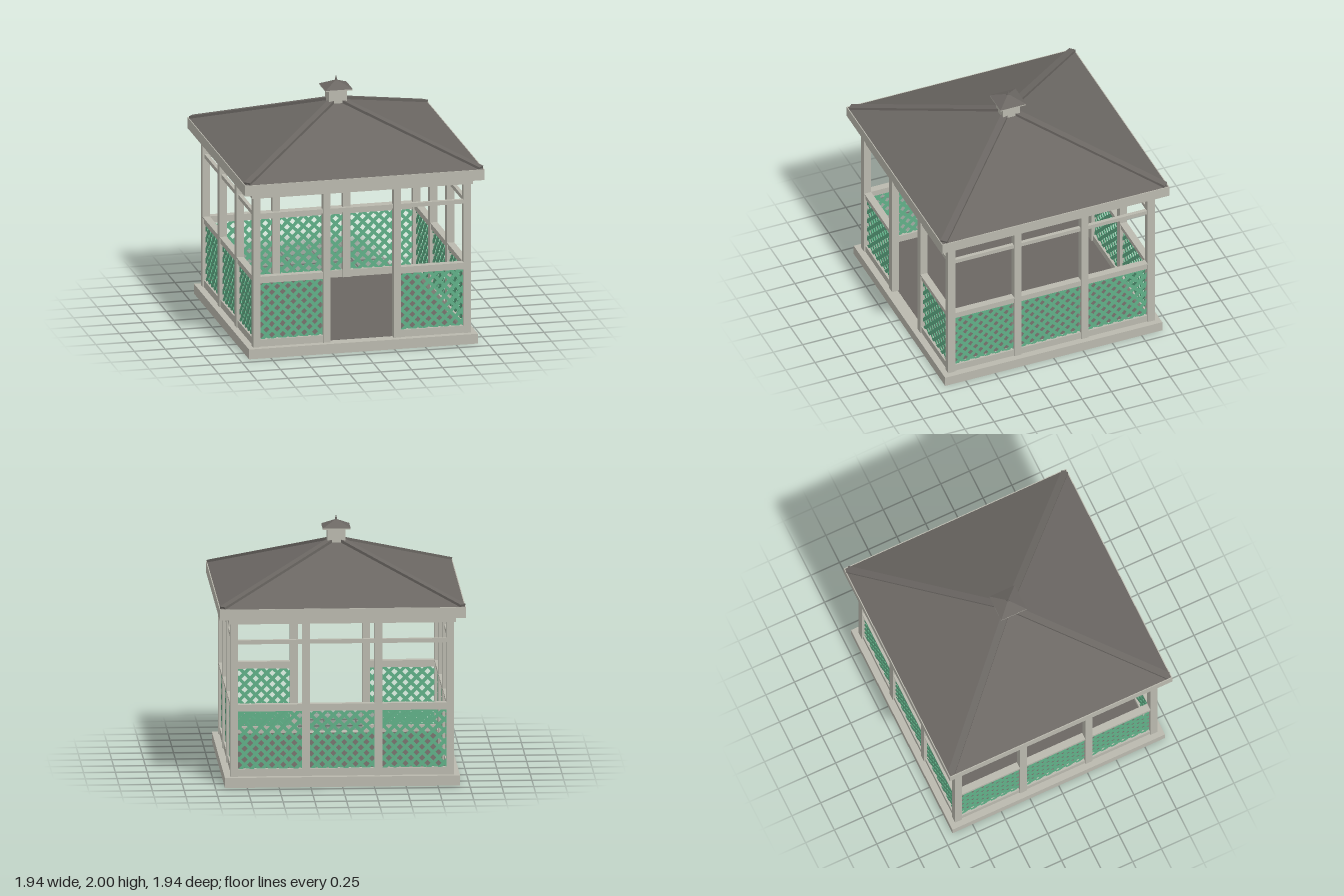
import * as THREE from 'three';
import { mergeGeometries } from 'three/addons/utils/BufferGeometryUtils.js';

const wood = new THREE.MeshStandardMaterial({ color: 0xbab9ae, side: THREE.DoubleSide });
wood.name = 'weathered grey wood';
const slate = new THREE.MeshStandardMaterial({ color: 0x6b6763 });
slate.name = 'dark roof and floor';
const green = new THREE.MeshStandardMaterial({ color: 0x61b088 });
green.name = 'green lattice';

const WALL = 0.85;      // distance of post centres from the middle
const POST = 0.06;
const BAYS = [-0.5675, 0, 0.5675];
const SPAN = 0.507;

function mesh(parent, name, geometry, material) {
  const m = new THREE.Mesh(geometry, material);
  m.name = name;
  parent.add(m);
  return m;
}

function box(parent, name, w, y0, y1, d, x, z, material = wood) {
  const m = mesh(parent, name, new THREE.BoxGeometry(w, y1 - y0, d), material);
  m.position.set(x, (y0 + y1) / 2, z);
}

// Square frame of four boards
function ring(parent, name, half, thick, y0, y1) {
  const g = new THREE.Group();
  g.name = name;
  for (let i = 0; i < 4; i++) {
    const side = new THREE.Group();
    side.name = name + 'Side';
    side.rotation.y = i * Math.PI / 2;
    box(side, name + 'Board', 2 * half - thick, y0, y1, thick, -thick / 2, half - thick / 2);
    g.add(side);
  }
  parent.add(g);
}

// Straight timber between two points, in the parent's own frame
function beam(parent, name, from, to, w, h, material = wood) {
  const a = new THREE.Vector3(...from), b = new THREE.Vector3(...to);
  const m = mesh(parent, name, new THREE.BoxGeometry(w, h, a.distanceTo(b)), material);
  const turn = new THREE.Matrix4().lookAt(b, a, new THREE.Vector3(0, 1, 0));
  m.quaternion.setFromRotationMatrix(turn);
  m.position.copy(a).add(b).multiplyScalar(0.5);
}

// Four-sided pyramid or frustum, given half widths
function frustum(parent, name, top, bottom, y0, y1, open, material = slate) {
  const g = new THREE.CylinderGeometry(top * Math.SQRT2, bottom * Math.SQRT2, y1 - y0, 4, 1, open)
    .rotateY(Math.PI / 4).translate(0, (y0 + y1) / 2, 0).toNonIndexed();
  g.computeVertexNormals();
  mesh(parent, name, g, material);
}

// Crossed diagonal slats, clipped to a w by h rectangle
function latticeGeometry(w, h) {
  const slats = [], period = 0.087, slat = 0.026;
  for (const dir of [1, -1]) {
    const phase = dir > 0 ? 0 : 0.4 * period;
    for (let k = -8; k <= 8; k++) {
      // line x = c + dir * y
      const c = k * period + phase;
      const ya = Math.max(-h / 2, Math.min((-w / 2 - c) * dir, (w / 2 - c) * dir));
      const yb = Math.min(h / 2, Math.max((-w / 2 - c) * dir, (w / 2 - c) * dir));
      if (yb - ya < 0.01) continue;
      const y = (ya + yb) / 2;
      slats.push(new THREE.BoxGeometry(slat, (yb - ya) * Math.SQRT2 + slat, 0.007)
        .rotateZ(-dir * Math.PI / 4).translate(c + dir * y, y, dir * 0.0035));
    }
  }
  return mergeGeometries(slats);
}

export function createModel() {
  const model = new THREE.Group();
  model.name = 'gazebo';

  // Base slab with a dark floor inset in its rim
  ring(model, 'baseRim', 0.925, 0.105, 0, 0.08);
  box(model, 'baseSlab', 1.64, 0, 0.07, 1.64, 0, 0);
  box(model, 'floor', 1.66, 0.072, 0.081, 1.66, 0, 0, slate);

  // Four walls, the front one with an open middle bay
  const lattice = latticeGeometry(SPAN, 0.465);
  for (let i = 0; i < 4; i++) {
    const wall = new THREE.Group();
    wall.name = ['frontWall', 'leftWall', 'backWall', 'rightWall'][i];
    wall.rotation.y = i * Math.PI / 2;
    model.add(wall);
    for (const x of [-WALL, -0.285, 0.285]) box(wall, 'post', POST, 0.08, 1.305, POST, x, WALL);
    for (const x of BAYS) {
      box(wall, 'upperRail', SPAN, 1.137, 1.17, 0.03, x, WALL);
      if (i === 0 && x === 0) continue;
      box(wall, 'bottomRail', SPAN, 0.08, 0.138, 0.04, x, WALL);
      box(wall, 'handRail', SPAN, 0.6, 0.645, 0.04, x, WALL);
      box(wall, 'handRailCap', SPAN, 0.645, 0.656, 0.058, x, WALL);
      mesh(wall, 'latticePanel', lattice, green).position.set(x, 0.369, WALL);
    }
  }

  // Top plate and eaves
  ring(model, 'topPlate', 0.893, 0.08, 1.303, 1.4);
  ring(model, 'fascia', 0.968, 0.025, 1.35, 1.437);

  // Roof covering with a wooden lining, hip caps above and rafters beneath
  frustum(model, 'roof', 0.06, 0.966, 1.435, 1.79, true);
  frustum(model, 'roofLining', 0.06, 0.95, 1.433, 1.782, true, wood);
  for (let i = 0; i < 4; i++) {
    const side = new THREE.Group();
    side.name = 'roofFraming';
    side.rotation.y = i * Math.PI / 2;
    model.add(side);
    beam(side, 'hipCap', [0.945, 1.445, 0.945], [0.05, 1.798, 0.05], 0.055, 0.022, slate);
    beam(side, 'hipRafter', [0.87, 1.42, 0.87], [0.05, 1.74, 0.05], 0.035, 0.05);
    beam(side, 'commonRafter', [0, 1.415, 0.88], [0, 1.745, 0.05], 0.035, 0.05);
  }
  box(model, 'kingPost', 0.07, 1.6, 1.79, 0.07, 0, 0);

  // Cupola
  box(model, 'cupola', 0.145, 1.77, 1.897, 0.145, 0, 0);
  box(model, 'cupolaEave', 0.218, 1.895, 1.905, 0.218, 0, 0);
  frustum(model, 'cupolaRoof', 0.008, 0.11, 1.905, 1.957, false);
  const finial = mesh(model, 'finial', new THREE.ConeGeometry(0.013, 0.052, 8), slate);
  finial.position.y = 1.974;

  return model;
}
